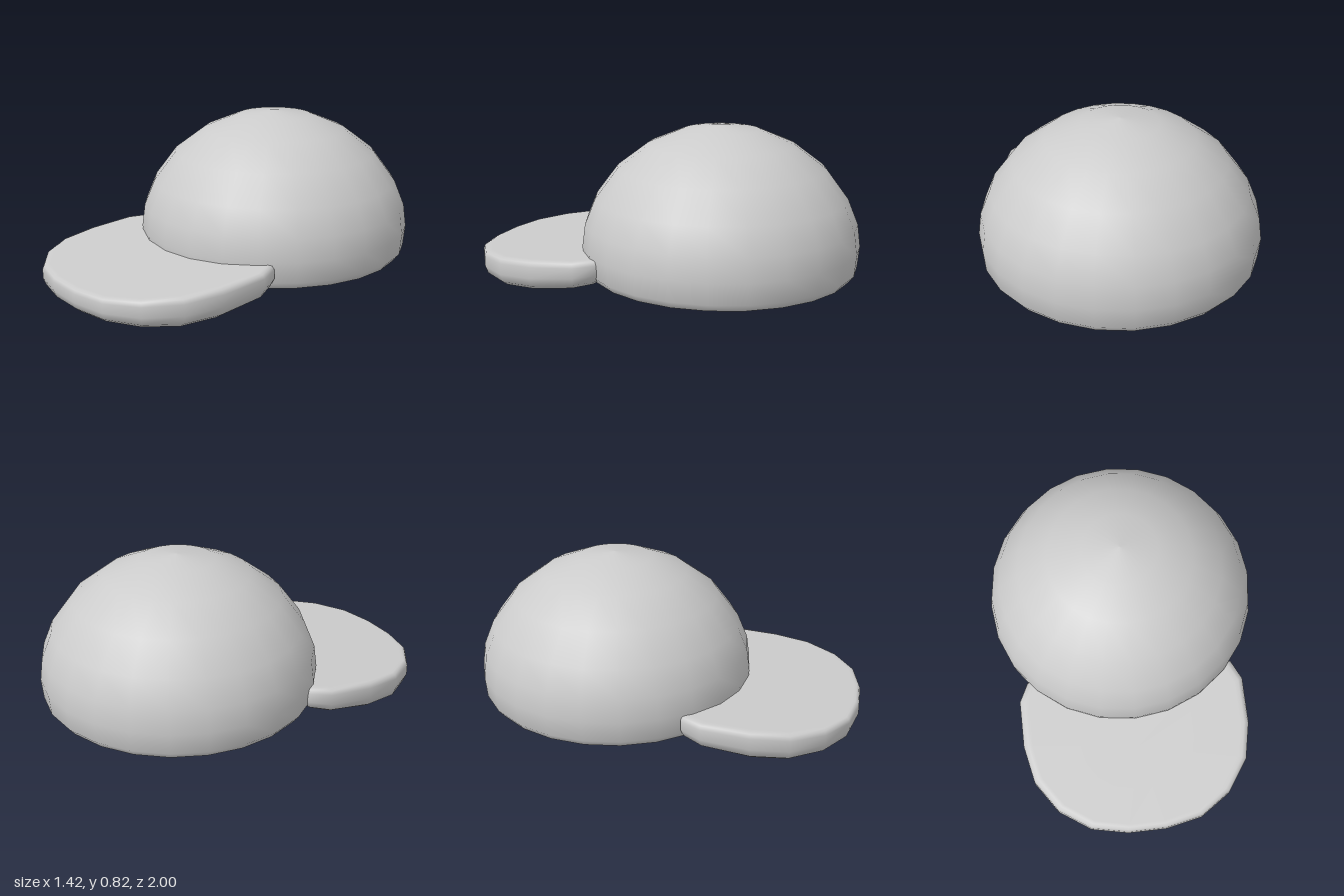
import * as THREE from 'three';

const material = new THREE.MeshStandardMaterial({ color: 0xcccccc });

// Rounded crown: a 24-sided dome with a soft lower rim and a closed base
function createCrown() {
  const profile = [
    [0, 0.05], [0.59, 0.05], [0.635, 0.052], [0.67, 0.063], [0.7, 0.1], [0.71, 0.205], [0.695, 0.32],
    [0.642, 0.45], [0.53, 0.6], [0.373, 0.718], [0.193, 0.793], [0, 0.818],
  ].map(([r, y]) => new THREE.Vector2(r, y));
  const crown = new THREE.Mesh(new THREE.LatheGeometry(profile, 24), material);
  crown.position.z = -0.288;
  crown.name = 'crown';
  return crown;
}

// Padded brim: one outline stacked in rings from the underside to the top
function createBrim() {
  const half = [[0.1, 0.998], [0.29, 0.958], [0.45, 0.85], [0.56, 0.69], [0.6, 0.5],
    [0.6, 0.26], [0.55, 0.16], [0.48, 0.145], [0.2, 0.145]];
  const outline = [...half, ...half.map(([x, z]) => [-x, z]).reverse()];
  const centreZ = 0.57;
  const bottomY = (z) => 0.2 * (z - 0.75) ** 2;
  const topY = (z) => 0.13 + (1 - z) * 0.08;

  // Each ring: scale of the outline, height between underside (0) and top (1)
  const rings = [[0, 0], [0.35, 0], [0.7, 0], [0.86, 0], [0.91, 0.02], [0.97, 0.17], [1, 0.45],
    [1, 0.82], [0.985, 0.96], [0.955, 1], [0.92, 1], [0.5, 1], [0, 1]];
  const n = outline.length;
  const positions = [];
  const index = [];
  rings.forEach(([s, t], i) => {
    outline.forEach(([x, z], j) => {
      const pz = centreZ + (z - centreZ) * s;
      positions.push(x * s, THREE.MathUtils.lerp(bottomY(pz), topY(pz), t), pz);
      if (i === 0) return;
      const k = (j + 1) % n;
      const a = (i - 1) * n + j, b = (i - 1) * n + k, c = i * n + k, d = i * n + j;
      if (i > 1) index.push(a, b, c);
      if (i < rings.length - 1) index.push(a, c, d);
      if (i === 1) return;
    });
  });
  const geometry = new THREE.BufferGeometry();
  geometry.setAttribute('position', new THREE.Float32BufferAttribute(positions, 3));
  geometry.setIndex(index);
  geometry.computeVertexNormals();
  const brim = new THREE.Mesh(geometry, material);
  brim.name = 'brim';
  return brim;
}

export function createModel() {
  const cap = new THREE.Group();
  cap.name = 'cap';
  cap.add(createCrown(), createBrim());
  return cap;
}
